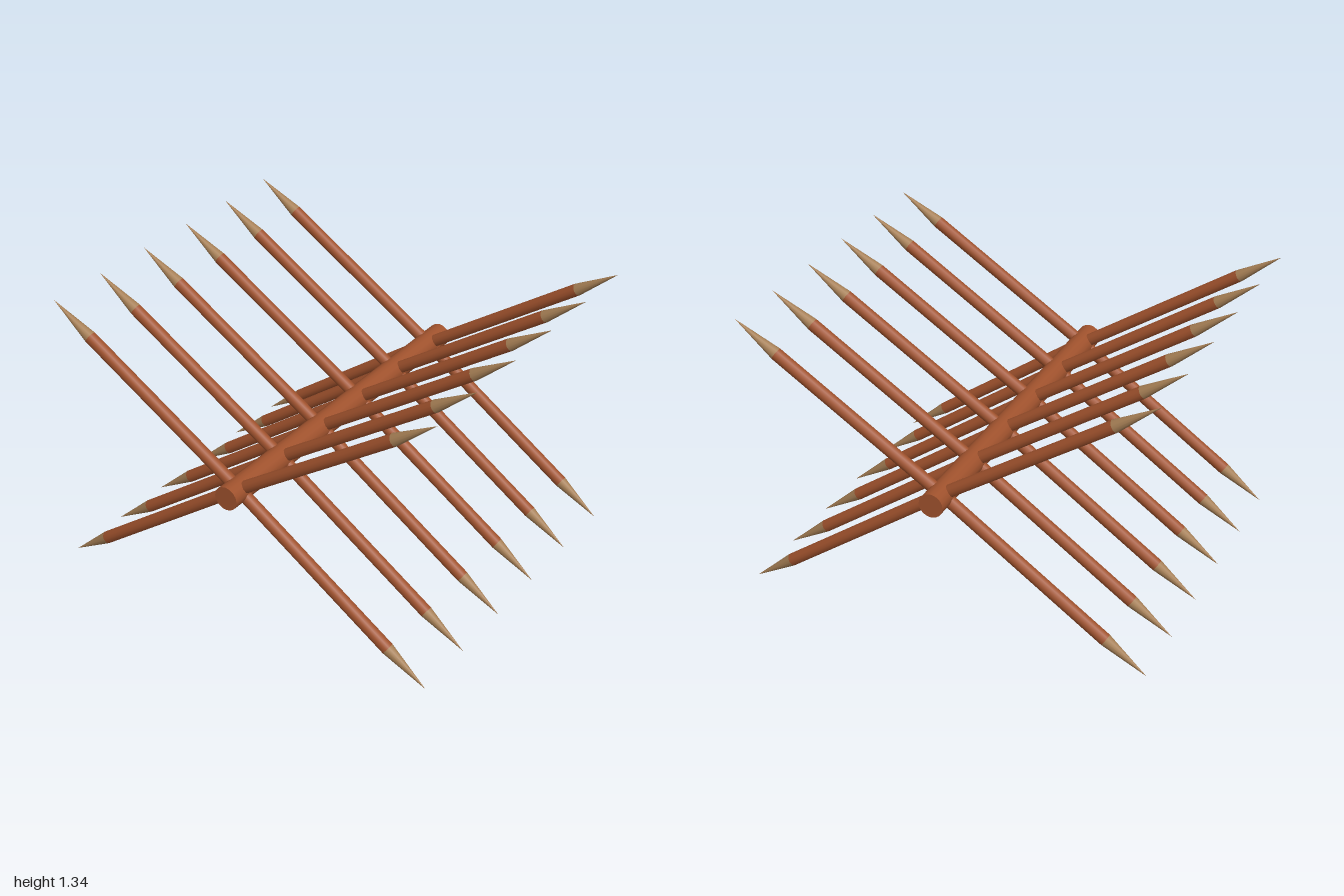
import * as THREE from 'three';

export function createModel() {
  const model = new THREE.Group();
  const wood = new THREE.MeshStandardMaterial({ color: 0xa0522d });
  wood.name = 'brown wood';
  const cutWood = new THREE.MeshStandardMaterial({ color: 0xa67f55 });
  cutWood.name = 'pale cut wood';

  const hubY = 0.687;

  // central log running front to back
  const beam = new THREE.Mesh(new THREE.CylinderGeometry(0.058, 0.058, 1.82, 16), wood);
  beam.name = 'beam';
  beam.rotation.x = Math.PI / 2;
  beam.position.y = hubY;
  model.add(beam);

  // a stake from the beam's centre line out to its sharpened tip
  const radius = 0.03;
  const tipLength = 0.24;
  function addStake(name, x, y, z) {
    const direction = new THREE.Vector3(x, y - hubY, 0);
    const length = direction.length();
    const shaftLength = length - tipLength;

    const stake = new THREE.Group();
    stake.name = name;
    stake.position.set(0, hubY, z);
    stake.quaternion.setFromUnitVectors(new THREE.Vector3(0, 1, 0), direction.normalize());

    const shaft = new THREE.Mesh(new THREE.CylinderGeometry(radius, radius, shaftLength, 12), wood);
    shaft.name = 'shaft';
    shaft.position.y = shaftLength / 2;

    const tip = new THREE.Mesh(new THREE.ConeGeometry(radius, tipLength, 12), cutWood);
    tip.name = 'sharpenedTip';
    tip.position.y = shaftLength + tipLength / 2;

    stake.add(shaft, tip);
    model.add(stake);
  }

  // six crossed rows of four stakes
  for (let i = 0; i < 6; i++) {
    const z = -0.8 + i * 0.323;
    for (const side of [1, -1]) {
      const label = side > 0 ? 'left' : 'right';
      addStake(label + 'UpperStake', side, 1.34, z);
      addStake(label + 'LowerStake', side * 0.98, 0, z);
    }
  }
  return model;
}
